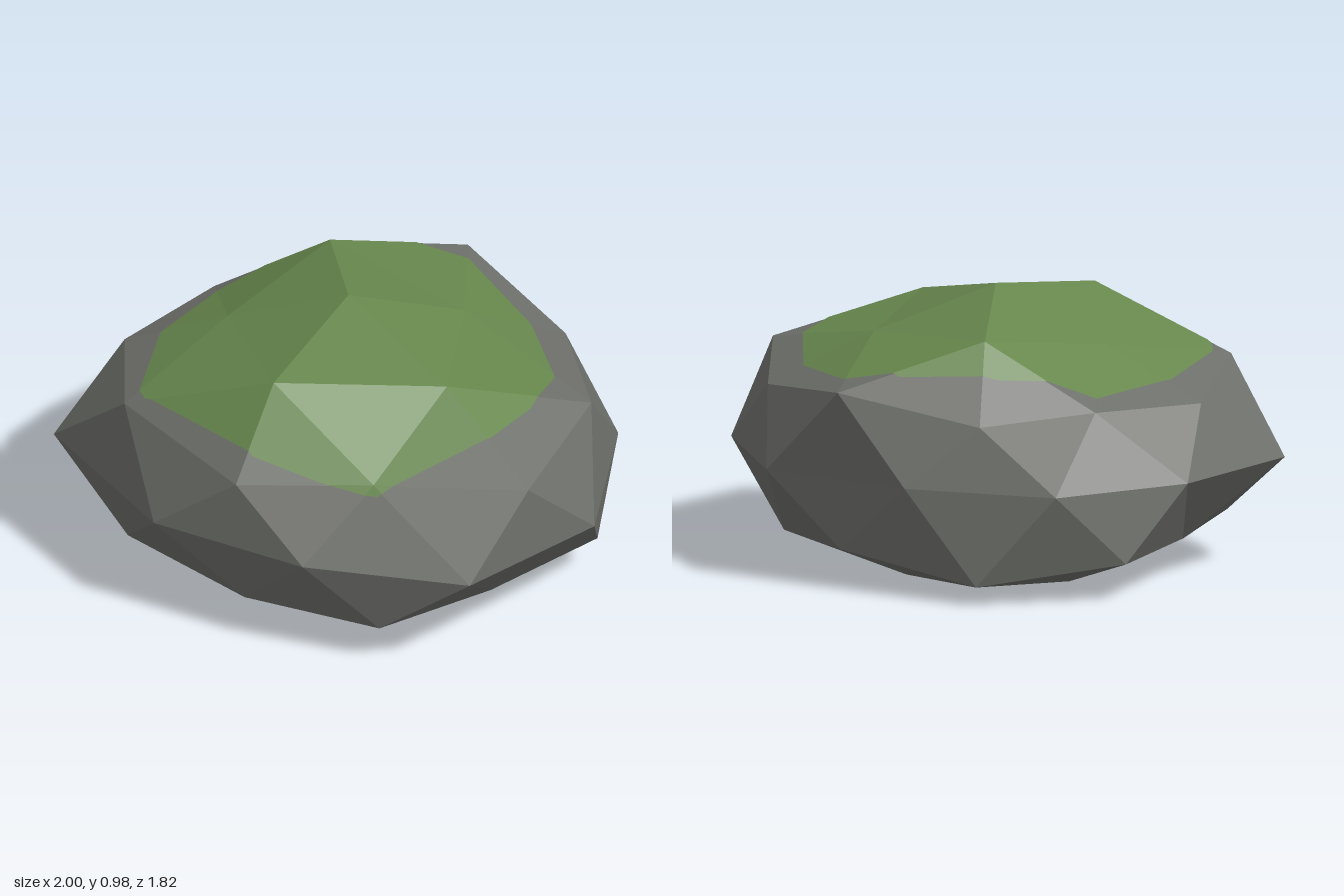
import * as THREE from 'three';
import { ConvexGeometry } from 'three/addons/geometries/ConvexGeometry.js';

// Rings of a sphere with a point at its top: height, radius, first angle, angle step, bulge of each point
const RINGS = [
  [1, 0, 0, 360, [1.09]],
  [0.851, 0.526, 0, 72, [1.04, 1.13, 0.89, 1.04, 0.93]],
  [0.526, 0.851, 36, 72, [0.88, 1.11, 0.875, 1.118, 1.108]],
  [0.447, 0.894, 0, 72, [1.117, 1.0, 0.97, 0.89, 1.024]],
  [0, 1, 18, 36, [1.08, 0.946, 1.02, 1.132, 0.986, 1.006, 0.931, 1.051, 1.037, 1.068]],
  [-0.447, 0.894, 36, 72, [1.03, 1.04, 1.088, 1.045, 1.08]],
  [-0.526, 0.851, 0, 72, [0.93, 0.97, 0.93, 1.16, 1.0]],
  [-0.851, 0.526, 36, 72, [1.22, 1.18, 1.045, 1.02, 1.01]],
  [-1, 0, 0, 360, [1]],
];

// Outline of the moss seen from above, as x, z
const MOSS = [
  [0.75, 0], [0.61, 0.4], [0.45, 0.53], [0.24, 0.67], [-0.26, 0.75], [-0.33, 0.72], [-0.6, 0.4],
  [-0.7, 0.05], [-0.58, -0.28], [-0.4, -0.58], [-0.22, -0.71], [0.21, -0.64], [0.57, -0.45], [0.69, -0.24],
];

// Triangles of the boulder: sphere faces with each point pushed in or out and the base cut flat
function boulderFaces() {
  const dirs = [], points = [];
  for (const [h, radius, start, step, bulges] of RINGS) {
    bulges.forEach((r, i) => {
      const a = THREE.MathUtils.degToRad(start + i * step);
      const d = new THREE.Vector3(radius * Math.cos(a), h, radius * Math.sin(a)).normalize();
      dirs.push(d);
      points.push(new THREE.Vector3(-0.027 + d.x * r, Math.max(0, 0.395 + d.y * r * 0.537), 0.007 + d.z * r * 0.88));
    });
  }
  const pos = new ConvexGeometry(dirs).getAttribute('position');
  const faces = [], v = new THREE.Vector3();
  for (let i = 0; i < pos.count; i += 3) {
    faces.push([0, 1, 2].map((k) => {
      v.fromBufferAttribute(pos, i + k);
      let best = 0;
      dirs.forEach((d, j) => { if (d.distanceTo(v) < dirs[best].distanceTo(v)) best = j; });
      return points[best];
    }));
  }
  return faces;
}

// Keep the part of a face that lies inside the moss outline
function clipToMoss(face) {
  let poly = face;
  MOSS.forEach(([ax, az], i) => {
    const [bx, bz] = MOSS[(i + 1) % MOSS.length];
    const side = (p) => (bx - ax) * (p.z - az) - (bz - az) * (p.x - ax);
    const kept = [];
    poly.forEach((p, j) => {
      const q = poly[(j + 1) % poly.length];
      const sp = side(p), sq = side(q);
      if (sp >= 0) kept.push(p);
      if ((sp >= 0) !== (sq >= 0)) kept.push(p.clone().lerp(q, sp / (sp - sq)));
    });
    poly = kept;
  });
  return poly;
}

// Flat-shaded mesh from a list of polygons
function meshFrom(polygons, material, name) {
  const pts = [];
  for (const p of polygons) {
    for (let i = 1; i + 1 < p.length; i++) pts.push(p[0], p[i], p[i + 1]);
  }
  const geometry = new THREE.BufferGeometry().setFromPoints(pts);
  geometry.computeVertexNormals();
  const mesh = new THREE.Mesh(geometry, material);
  mesh.name = name;
  return mesh;
}

export function createModel() {
  const stone = new THREE.MeshStandardMaterial({ color: 0x6d6f6a });
  stone.name = 'stone grey';
  const moss = new THREE.MeshStandardMaterial({ color: 0x67874d });
  moss.name = 'moss green';

  const group = new THREE.Group();
  group.name = 'mossyBoulder';
  const faces = boulderFaces();
  group.add(meshFrom(faces, stone, 'boulder'));

  // Thin moss layer following the upper faces
  const upper = faces.filter((f) => f.every((p) => p.y > 0.39));
  const patch = meshFrom(upper.map(clipToMoss), moss, 'mossPatch');
  patch.position.y = 0.004;
  group.add(patch);
  return group;
}
